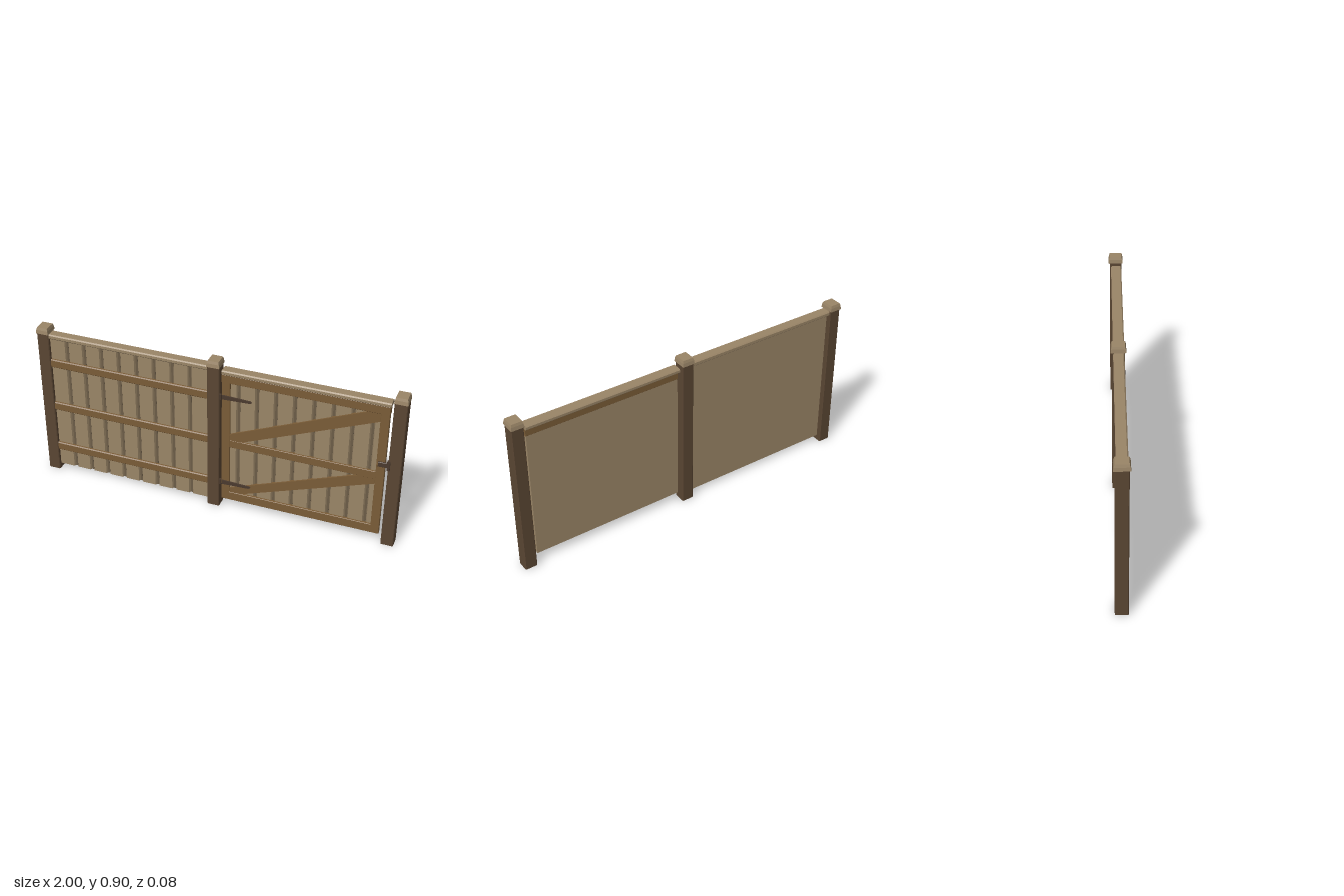
import * as THREE from 'three';

const mat = (name, color) => {
  const m = new THREE.MeshStandardMaterial({ color });
  m.name = name;
  return m;
};

export function createModel() {
  const root = new THREE.Group();
  root.name = 'fenceWithGate';
  const postWood = mat('dark post wood', 0x5a4633);
  const boardWood = mat('pale board wood', 0x9a8567);
  const railWood = mat('brown rail wood', 0x7a5c37);
  const grooveWood = mat('groove shade', 0x6b5c47);
  const iron = mat('dark iron', 0x4a3a2e);

  const add = (parent, name, geometry, material) => {
    const m = new THREE.Mesh(geometry, material);
    m.name = name;
    parent.add(m);
    return m;
  };
  const group = (name) => {
    const g = new THREE.Group();
    g.name = name;
    root.add(g);
    return g;
  };
  const polygon = (pts) => new THREE.Shape(pts.map(([x, y]) => new THREE.Vector2(x, y)));
  const extrude = (pts, depth) =>
    new THREE.ExtrudeGeometry(polygon(pts), { depth, bevelEnabled: false });

  // Chamfered rectangle section, w by h, centred
  const section = (w, h, c) => {
    const a = w / 2, b = h / 2;
    return [[-a + c, -b], [a - c, -b], [a, -b + c], [a, b - c],
      [a - c, b], [-a + c, b], [-a, b - c], [-a, -b + c]];
  };

  // Chamfered beam lying along x
  const beamX = (parent, name, x0, x1, y0, y1, z0, z1, c, material) => {
    const g = extrude(section(z1 - z0, y1 - y0, c), x1 - x0);
    g.rotateY(Math.PI / 2).translate(x0, (y0 + y1) / 2, (z0 + z1) / 2);
    return add(parent, name, g, material);
  };
  // Chamfered beam standing along y
  const beamY = (parent, name, x0, x1, y0, y1, z0, z1, c, material) => {
    const g = extrude(section(x1 - x0, z1 - z0, c), y1 - y0);
    g.rotateX(-Math.PI / 2).translate((x0 + x1) / 2, y0, (z0 + z1) / 2);
    return add(parent, name, g, material);
  };

  // Boarding: flat back, grooves cut into the front
  const BACK = -0.006, FLOOR = 0.005, FACE = 0.016;
  const boarding = (parent, x0, x1, y0, y1, first, count) => {
    const pts = [[x0, -BACK], [x0, -FACE]];
    for (let i = 0; i < count; i++) {
      const x = first + i * 0.1;
      pts.push([x - 0.012, -FACE], [x - 0.006, -FLOOR], [x + 0.006, -FLOOR], [x + 0.012, -FACE]);
      const strip = new THREE.BoxGeometry(0.012, y1 - y0, 0.002);
      strip.translate(x, (y0 + y1) / 2, FLOOR);
      add(parent, 'boardGroove', strip, grooveWood);
    }
    pts.push([x1, -FACE], [x1, -BACK]);
    const g = extrude(pts, y1 - y0);
    g.rotateX(-Math.PI / 2).translate(0, y0, 0);
    add(parent, 'boards', g, boardWood);
  };

  // Posts with tapered caps
  for (const x of [-0.965, 0, 0.965]) {
    const post = group('post');
    beamY(post, 'postShaft', x - 0.0335, x + 0.0335, 0, 0.87, -0.0335, 0.0335, 0.004, postWood);
    const r = Math.SQRT2;
    const profile = [[0, 0.866], [0.04, 0.866], [0.0375, 0.886], [0.033, 0.9], [0, 0.9]]
      .map(([s, y]) => new THREE.Vector2(s * r, y));
    const cap = new THREE.LatheGeometry(profile, 4, Math.PI / 4).toNonIndexed();
    cap.scale(0.875, 1, 1).translate(x, 0, 0);
    cap.computeVertexNormals();
    add(post, 'postCap', cap, boardWood);
  }

  // Fixed fence panel
  const fence = group('fencePanel');
  boarding(fence, -0.935, -0.03, 0.03, 0.84, -0.835, 8);
  beamX(fence, 'topRail', -0.935, -0.03, 0.838, 0.865, -0.027, 0.03, 0.006, boardWood);
  for (const y of [0.155, 0.42, 0.69]) {
    beamX(fence, 'fenceRail', -0.935, -0.03, y - 0.024, y + 0.024, 0.01, 0.029, 0.005, railWood);
  }

  // Gate leaf
  const gate = group('gate');
  boarding(gate, 0.047, 0.913, 0.05, 0.79, 0.133, 8);
  beamX(gate, 'gateTopRail', 0.045, 0.918, 0.83, 0.855, -0.027, 0.031, 0.006, boardWood);
  beamX(gate, 'frameTop', 0.045, 0.915, 0.785, 0.832, -0.008, 0.027, 0.002, railWood);
  beamX(gate, 'frameMiddle', 0.088, 0.872, 0.395, 0.44, 0.01, 0.026, 0.002, railWood);
  beamX(gate, 'frameBottom', 0.045, 0.915, 0.054, 0.105, 0.01, 0.027, 0.002, railWood);
  for (const x of [0.045, 0.87]) {
    beamY(gate, 'frameStile', x, x + 0.045, 0.1, 0.79, 0.01, 0.027, 0.002, railWood);
  }

  // Diagonal braces, cut to fit the frame
  const braces = [
    [[0.088, 0.438], [0.15, 0.438], [0.872, 0.74], [0.872, 0.787], [0.815, 0.787], [0.088, 0.475]],
    [[0.088, 0.103], [0.15, 0.103], [0.872, 0.366], [0.872, 0.397], [0.785, 0.397], [0.088, 0.13]],
  ];
  for (const pts of braces) {
    const g = extrude(pts, 0.015);
    g.translate(0, 0, 0.01);
    add(gate, 'diagonalBrace', g, railWood);
  }

  // Strap hinges
  for (const y of [0.165, 0.7]) {
    const hinge = group('hinge');
    const strap = extrude([[0.05, -0.012], [0.2, -0.006], [0.21, 0], [0.2, 0.006], [0.05, 0.012]], 0.008);
    strap.translate(0, y, 0.026);
    add(hinge, 'hingeStrap', strap, iron);
    const pin = new THREE.CylinderGeometry(0.007, 0.007, 0.03, 10);
    pin.translate(0.04, y, 0.03);
    add(hinge, 'hingePin', pin, iron);
  }

  // Latch between gate and end post
  const latch = group('latch');
  beamX(latch, 'latchBar', 0.88, 0.935, 0.482, 0.51, 0.024, 0.036, 0.002, iron);
  beamY(latch, 'latchKeeper', 0.926, 0.942, 0.47, 0.525, 0.024, 0.039, 0.002, iron);

  return root;
}
